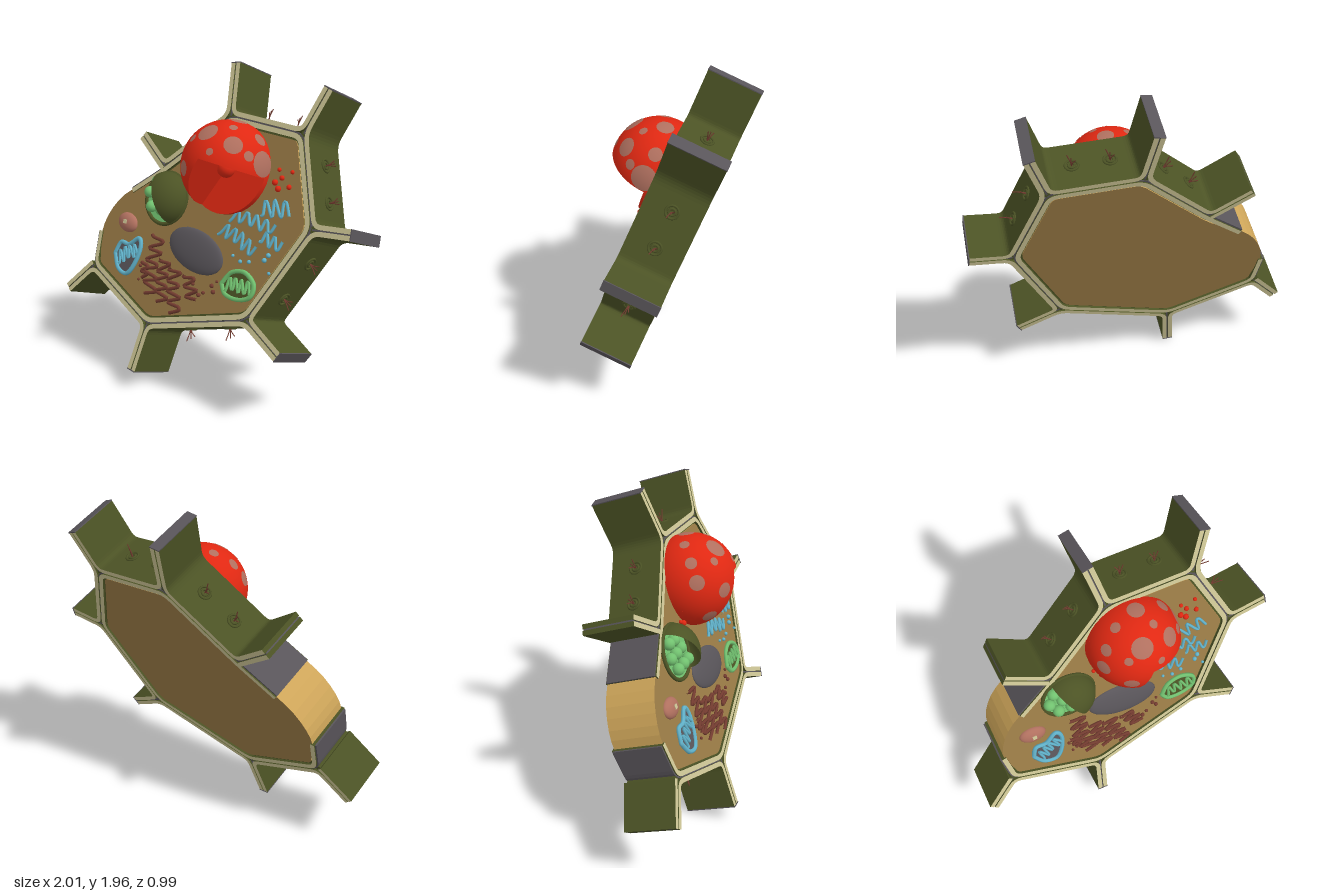
import * as THREE from 'three';

const mat = (name, color, side = THREE.FrontSide) => {
  const m = new THREE.MeshStandardMaterial({ color, side });
  m.name = name;
  return m;
};

export function createModel() {
  const tan = mat('wallTan', 0xcdc595), olive = mat('wallOlive', 0x4c5325, THREE.DoubleSide);
  const gray = mat('darkGray', 0x59555a), brown = mat('cytoplasmBrown', 0x997a45);
  const gold = mat('membraneGold', 0xcfa65a), red = mat('nucleusRed', 0xe02812, THREE.DoubleSide);
  const pink = mat('porePink', 0xb0705f), green = mat('plastidGreen', 0x72c270);
  const blue = mat('organelleBlue', 0x62b4cc), maroon = mat('golgiMaroon', 0x743c30);

  const model = new THREE.Group();
  const TILT = 0.358, FACE = 0.152, DEPTH = 0.32;
  const cell = new THREE.Group();
  cell.name = 'cell';
  cell.position.y = 0.98;
  cell.rotation.x = -TILT;
  model.add(cell);

  // upright height -> height along the leaning slab
  const P = (x, y) => new THREE.Vector2(x, (y - 1.036) / 0.937);
  const add = (name, geo, material, x = 0, y = 0, z = 0, parent = cell) => {
    const m = new THREE.Mesh(geo, material);
    m.name = name;
    m.position.set(x, y, z);
    parent.add(m);
    return m;
  };
  const roundPath = (pts, r) => {
    const out = [pts[0]];
    for (let i = 1; i < pts.length - 1; i++) {
      const toward = (q) => pts[i].clone().add(q.clone().sub(pts[i]).setLength(r));
      out.push(...new THREE.QuadraticBezierCurve(toward(pts[i - 1]), pts[i], toward(pts[i + 1])).getPoints(5));
    }
    out.push(pts[pts.length - 1]);
    return out;
  };
  const offset = (pts, d) => pts.map((p, i) => {
    const t = pts[Math.min(i + 1, pts.length - 1)].clone().sub(pts[Math.max(i - 1, 0)]).normalize();
    return new THREE.Vector2(p.x - t.y * d, p.y + t.x * d);
  });
  const extrude = (pts, depth) => new THREE.ExtrudeGeometry(new THREE.Shape(pts), { depth, bevelEnabled: false })
    .translate(0, 0, -depth / 2);
  const band = (name, pts, a, b, depth, mats) =>
    add(name, extrude([...offset(pts, a), ...offset(pts, b).reverse()], depth), mats);

  // corners of the cell, and the outer end of the wall leaving each one
  const corners = [P(-0.80, 0.64), P(-0.245, 0.41), P(0.47, 0.61), P(0.755, 1.153), P(0.56, 1.625), P(0.03, 1.66), P(-0.39, 1.31)];
  const ends = [P(-0.98, 0.455), P(-0.28, 0.125), P(0.73, 0.48), P(1.0, 1.172), P(0.655, 1.875), P(-0.02, 1.955), P(-0.625, 1.465)];
  const ring = roundPath([P(-0.82, 0.85), ...corners, P(-0.62, 1.147)], 0.06);

  // own wall, dark middle layer and inner lining
  band('cellWall', ring, 0.005, 0.034, DEPTH, [tan, olive]);
  band('middleLayer', ring, -0.005, 0.005, 0.305, gray);
  band('wallLining', ring, 0.034, 0.046, 0.29, olive);

  // neighbouring walls that turn outwards at the corners
  for (let i = 0; i < 6; i++) {
    const path = roundPath([ends[i], corners[i], corners[i + 1], ends[i + 1]], 0.06);
    band('neighbourWall', path, -0.032, -0.004, DEPTH, [tan, olive]);
  }
  band('openWallLeft', [corners[0], ends[0]], -0.032, -0.004, DEPTH, [tan, olive]);
  band('openWallTop', [ends[6], corners[6]], -0.032, -0.004, DEPTH, [tan, olive]);
  corners.forEach((c, i) => {
    band('spurMiddleLayer', [ends[i], c], -0.005, 0.005, 0.305, gray);
    add('cornerFiller', new THREE.CylinderGeometry(0.02, 0.02, 0.3, 8).rotateX(Math.PI / 2), olive, c.x, c.y);
    if (i > 0 && i < 6) {
      const d = ends[i].clone().sub(c);
      add('spurEnd', new THREE.BoxGeometry(0.006, 0.066, DEPTH + 0.004), gray, ends[i].x, ends[i].y).rotation.z = d.angle();
    }
  });

  // cytoplasm with the membrane bulging through the open side
  const bulge = [P(-0.62, 1.137), P(-0.67, 1.1), P(-0.715, 1.055), P(-0.75, 1.005), P(-0.778, 0.95), P(-0.793, 0.9), P(-0.799, 0.84)];
  add('cytoplasm', extrude([...offset(ring, 0.045).slice(1, -1), ...bulge], 0.304), [brown, gold]);

  // channels through the walls: ring with branching threads
  for (let i = 0; i < 6; i++) {
    for (const t of [0.3, 0.7]) {
      const p = corners[i].clone().lerp(corners[i + 1], t);
      const d = corners[i + 1].clone().sub(corners[i]);
      const g = new THREE.Group();
      g.name = 'wallChannel';
      g.position.set(p.x, p.y, 0);
      g.rotation.z = d.angle() - Math.PI;
      cell.add(g);
      for (const r of [0.036, 0.018])
        add('channelRing', new THREE.TorusGeometry(r, 0.007, 6, 18).rotateX(Math.PI / 2), olive, 0, 0.034, 0, g);
      for (const s of [-1, 0, 1]) {
        const c = new THREE.CatmullRomCurve3([[0, 0.02, 0], [s * 0.004, 0.055, s * 0.006], [s * 0.022, 0.095 + 0.012 * s, s * 0.015]]
          .map((a) => new THREE.Vector3(...a)));
        add('channelThread', new THREE.TubeGeometry(c, 6, 0.003, 5), maroon, 0, 0, 0, g);
      }
    }
  }

  // nucleus: ball with a wedge of its front half cut away
  const R = 0.275, DEG = Math.PI / 180;
  const dome = (r, from, span) => new THREE.SphereGeometry(r, 36, 16, from * DEG - Math.PI, span * DEG, 0, Math.PI / 2).rotateX(Math.PI / 2);
  const cutFace = (r, az) => new THREE.CircleGeometry(r, 20, 0, Math.PI / 2).rotateX(Math.PI / 2).rotateZ(az * DEG);
  const nucleus = new THREE.Group();
  nucleus.name = 'nucleus';
  nucleus.position.set(0.125, 0.365, 0.193);
  cell.add(nucleus);
  add('nucleusShell', dome(R, -5, 248), red, 0, 0, 0, nucleus);
  add('nucleusBase', new THREE.SphereGeometry(R, 36, 8, 0, Math.PI * 2, Math.PI / 2, 0.7).rotateX(Math.PI / 2), red, 0, 0, 0, nucleus);
  add('nucleusFloor', new THREE.CircleGeometry(R, 36), red, 0, 0, 0, nucleus);
  for (const az of [-5, 243]) add('nucleusCut', cutFace(R, az), red, 0, 0, 0, nucleus);
  add('nucleolus', new THREE.SphereGeometry(0.055, 16, 12), red, 0.015, -0.01, 0.03, nucleus);
  const pores = new THREE.Group();
  pores.name = 'nuclearPores';
  pores.rotation.x = TILT;
  nucleus.add(pores);
  const up = new THREE.Vector3(0, 1, 0);
  for (const [x, y, z, r] of [[-0.02, 0.225, 0.15, 0.062], [0.155, 0.176, 0.14, 0.055], [-0.123, 0.02, 0.24, 0.045],
    [-0.23, 0.09, 0.11, 0.045], [-0.165, -0.14, 0.17, 0.045], [0.265, 0.06, 0.01, 0.075], [0.09, 0.25, 0.06, 0.025],
    [-0.19, 0.185, 0.06, 0.035], [-0.11, 0.18, 0.17, 0.025], [0.24, 0.12, 0.1, 0.03], [0.04, 0.265, -0.05, 0.05],
    [-0.1, 0.25, -0.01, 0.03], [0.2, 0.18, -0.04, 0.04], [0.06, 0.14, 0.23, 0.022]]) {
    const m = add('pore', new THREE.SphereGeometry(R + 0.002, 18, 4, 0, Math.PI * 2, 0, r / R), pink, 0, 0, 0, pores);
    m.quaternion.setFromUnitVectors(up, new THREE.Vector3(x, y, z).normalize());
  }

  // starch plastid: round tray of grains, half covered by a dome
  const tray = P(-0.313, 1.135);
  const plastid = new THREE.Group();
  plastid.name = 'starchPlastid';
  plastid.position.set(tray.x, tray.y, FACE + 0.004);
  cell.add(plastid);
  add('trayFloor', new THREE.CircleGeometry(0.165, 32), green, 0, 0, 0.002, plastid);
  add('trayRim', new THREE.TorusGeometry(0.16, 0.012, 8, 36), olive, 0, 0, 0.004, plastid);
  add('trayCover', dome(0.165, -62, 180).scale(1, 1, 0.85), olive, 0, 0, 0, plastid);
  for (const [x, y] of [[-0.085, 0.09], [-0.015, 0.08], [-0.125, 0.015], [-0.045, 0.01], [0.03, 0.01], [-0.085, -0.07], [-0.005, -0.075], [0.065, -0.08]])
    add('starchGrain', new THREE.SphereGeometry(0.036, 14, 10), green, x, y, 0.025, plastid);

  // flattened bodies lying on the face
  const lens = (name, m, x, y, rx, ry, h, rot) => {
    const p = P(x, y);
    const o = add(name, new THREE.SphereGeometry(1, 32, 16).scale(rx, ry, h), m, p.x, p.y, FACE);
    o.rotation.z = rot;
    return o;
  };
  lens('vacuole', gray, 0, 0.89, 0.222, 0.122, 0.03, -0.22);
  lens('peroxisome', pink, -0.588, 0.943, 0.083, 0.06, 0.035, -0.2);
  const crystal = P(-0.585, 0.945);
  add('crystal', new THREE.BoxGeometry(0.026, 0.026, 0.02), tan, crystal.x, crystal.y, FACE + 0.028);

  // tubes winding across the face
  const worm = (name, pts, r, m, closed = false, z = FACE + 0.008) => {
    const c = new THREE.CatmullRomCurve3(pts.map((p) => new THREE.Vector3(p.x, p.y, z)), closed);
    return add(name, new THREE.TubeGeometry(c, pts.length * 5, r, 6, closed), m);
  };
  const serpentine = (name, [x0, y0], [x1, y1], amp, n, r, m, z) => {
    const a = P(x0, y0), b = P(x1, y1), t = b.clone().sub(a).normalize();
    const pts = [];
    for (let i = 0; i <= n * 2; i++) {
      const s = (i >> 1) % 2 ? 1 : -1;
      const k = s * amp * (0.72 + 0.28 * Math.sin(i * 1.9 + x0 * 9));
      const p = a.clone().lerp(b, (i + (i % 2 ? -0.15 : 0.15)) / (n * 2));
      pts.push(new THREE.Vector2(p.x - t.y * k, p.y + t.x * k));
    }
    worm(name, pts, r, m, false, z);
  };
  for (const [a, b, amp, n] of [[[0.15, 1.05], [0.42, 0.98], 0.045, 9], [[0.2, 1.13], [0.52, 1.12], 0.04, 9],
    [[0.4, 1.19], [0.58, 1.24], 0.055, 6], [[0.44, 1.05], [0.59, 1.04], 0.04, 5]])
    serpentine('endoplasmicReticulum', a, b, amp, n, 0.009, blue);
  for (const [a, b, amp, n] of [[[-0.32, 0.92], [-0.28, 0.58], 0.06, 10], [[-0.22, 0.8], [-0.17, 0.56], 0.05, 8],
    [[-0.12, 0.77], [-0.06, 0.52], 0.055, 8], [[0.0, 0.76], [0.06, 0.62], 0.05, 5], [[-0.37, 0.75], [-0.35, 0.66], 0.03, 4]])
    serpentine('golgiStack', a, b, amp, n, 0.011, maroon);

  // mitochondria: plate, raised rim and folded inner membrane
  const mitochondrion = (outline, plate, m, a, b, amp, n) => {
    const pts = new THREE.SplineCurve([...outline, outline[0]].map((q) => P(...q))).getPoints(32);
    add('mitochondrionPlate', extrude(pts, 0.014), plate, 0, 0, FACE);
    worm('mitochondrionRim', pts.slice(0, -1), 0.014, m, true);
    serpentine('mitochondrionFolds', a, b, amp, n, 0.009, m, FACE + 0.012);
  };
  mitochondrion([[-0.63, 0.75], [-0.6, 0.82], [-0.53, 0.82], [-0.46, 0.87], [-0.43, 0.82], [-0.45, 0.72], [-0.5, 0.65], [-0.58, 0.67]],
    gray, blue, [-0.6, 0.73], [-0.45, 0.8], 0.05, 8);
  mitochondrion([[0.25, 0.76], [0.3, 0.83], [0.39, 0.85], [0.47, 0.8], [0.46, 0.73], [0.38, 0.7], [0.29, 0.71]],
    olive, green, [0.28, 0.76], [0.45, 0.785], 0.045, 8);

  // scattered vesicles
  const dots = (m, list, r) => list.forEach(([x, y], i) => {
    const p = P(x, y);
    add('vesicle', new THREE.SphereGeometry(r * (0.8 + 0.2 * (i % 3)), 10, 8), m, p.x, p.y, FACE + 0.006);
  });
  dots(red, [[0.46, 1.42], [0.49, 1.38], [0.45, 1.35], [0.55, 1.42], [0.55, 1.34], [0.48, 1.32], [-0.13, 1.23], [-0.09, 1.17], [-0.1, 1.21]], 0.015);
  dots(maroon, [[0.08, 0.79], [0.04, 0.71], [0.18, 0.73], [0.21, 0.76], [0.13, 0.68], [0.1, 0.66], [-0.39, 0.64], [-0.4, 0.72], [0.2, 0.7]], 0.011);
  dots(blue, [[0.28, 0.92], [0.34, 0.9], [0.5, 0.94], [0.55, 0.88], [0.4, 0.91], [0.52, 0.97]], 0.012);

  return model;
}
